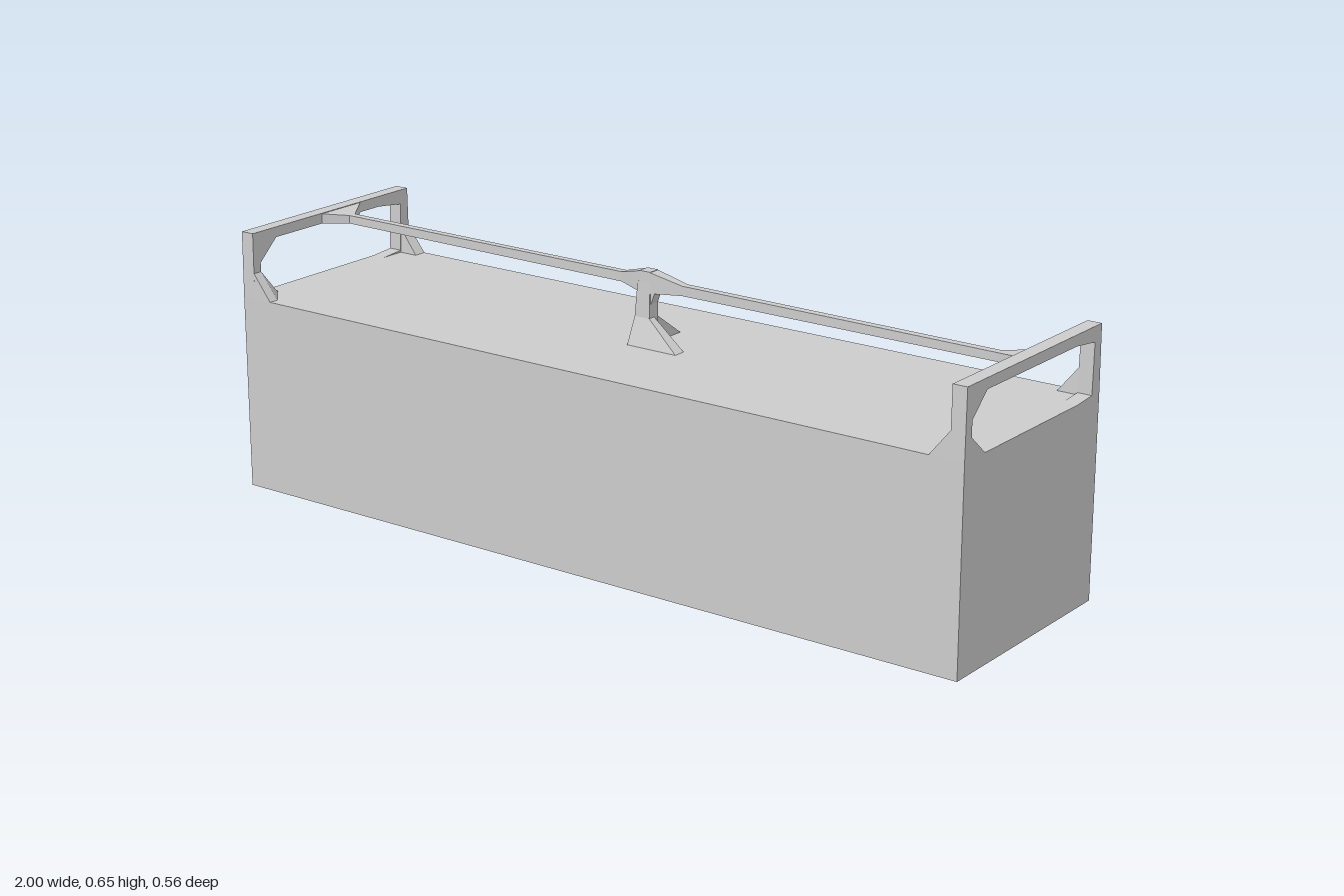
import * as THREE from 'three';
import { ConvexGeometry } from 'three/addons/geometries/ConvexGeometry.js';

const material = new THREE.MeshStandardMaterial({ color: 0xcccccc, flatShading: true });
const DECK = 0.478, BACK = -0.28, FRONT = 0.278;

function add(parent, name, geometry) {
  const mesh = new THREE.Mesh(geometry, material);
  mesh.name = name;
  parent.add(mesh);
  return mesh;
}

// Four corners of a rectangle at height y
const level = (y, x0, x1, z0, z1) => [[x0, y, z0], [x1, y, z0], [x1, y, z1], [x0, y, z1]];
// Four corners of a rectangle at a given x
const section = (x, y0, y1, z0, z1) => [[x, y0, z0], [x, y1, z0], [x, y1, z1], [x, y0, z1]];

// Solid block spanning two or more cross-sections
function block(parent, name, ...sections) {
  const points = sections.flat().map(p => new THREE.Vector3(...p));
  return add(parent, name, new ConvexGeometry(points));
}

// Upright end frame with a chamfered opening
function endFrameGeometry() {
  const toPoints = list => list.map(p => new THREE.Vector2(...p));
  const shape = new THREE.Shape(toPoints([
    [BACK, DECK - 0.002], [FRONT, DECK - 0.002], [0.276, 0.638], [-0.277, 0.638]]));
  shape.holes.push(new THREE.Path(toPoints([
    [0.198, DECK], [-0.185, DECK], [-0.247, 0.483], [-0.25, 0.602],
    [-0.17, 0.612], [0.197, 0.613], [0.253, 0.562], [0.253, 0.525]])));
  const geometry = new THREE.ExtrudeGeometry(shape, { depth: 0.035, bevelEnabled: false });
  return geometry.rotateY(-Math.PI / 2);
}

export function createModel() {
  const model = new THREE.Group();
  model.name = 'toolbox';

  // Closed rectangular body
  const body = add(model, 'body', new THREE.BoxGeometry(2, DECK, FRONT - BACK));
  body.position.set(0, DECK / 2, (FRONT + BACK) / 2);

  // End frames with gussets at the feet of their posts
  for (const side of [-1, 1]) {
    const end = new THREE.Group();
    end.name = side > 0 ? 'leftEnd' : 'rightEnd';
    model.add(end);
    const frame = add(end, 'endFrame', endFrameGeometry());
    frame.position.x = side > 0 ? 1 : -0.965;
    block(end, 'frontGusset',
      [[side * 0.965, DECK, 0.2], [side * 0.915, DECK, 0.253], [side * 0.915, DECK, FRONT],
        [side * 0.97, DECK, FRONT], [side * 0.97, DECK, 0.2]],
      level(0.54, side * 0.965, side * 0.97, 0.253, 0.277));
    block(end, 'backGusset',
      level(DECK, side * 0.915, side * 0.97, BACK, -0.247),
      level(0.54, side * 0.965, side * 0.97, BACK, -0.25));
  }

  // Thin ridge rail, flared where it joins the end frames
  block(model, 'rightRail', section(-0.92, 0.611, 0.631, -0.028, -0.008),
    section(-0.07, 0.608, 0.631, -0.022, -0.004));
  block(model, 'leftRail', section(0.07, 0.608, 0.631, -0.01, 0.01),
    section(0.92, 0.611, 0.631, 0.001, 0.021));
  block(model, 'rightRailFlare', section(-0.97, 0.612, 0.637, -0.11, 0.04),
    section(-0.915, 0.611, 0.631, -0.028, -0.008));
  block(model, 'leftRailFlare', section(0.97, 0.612, 0.637, -0.02, 0.038),
    section(0.915, 0.611, 0.631, 0.001, 0.021));

  // Centre support: post, spreading feet and raised cap
  const support = new THREE.Group();
  support.name = 'centreSupport';
  model.add(support);
  block(support, 'post', level(0.54, -0.026, 0.015, -0.015, 0.019),
    level(0.625, -0.02, 0.015, -0.015, 0.016));
  block(support, 'frontFoot', level(DECK, -0.03, 0.012, -0.015, 0.042),
    level(0.542, -0.026, 0.015, -0.015, 0.019));
  block(support, 'sideFoot', level(DECK, -0.01, 0.105, 0.01, 0.042),
    level(0.542, -0.01, 0.015, 0.0, 0.019));
  block(support, 'backFoot', level(DECK, -0.03, 0.008, -0.11, 0),
    level(0.542, -0.026, 0.012, -0.015, 0));
  block(support, 'brace', level(0.575, 0.0, 0.016, -0.012, 0.014),
    level(0.612, 0.0, 0.03, -0.012, 0.014));
  block(support, 'capRight', section(-0.08, 0.608, 0.631, -0.022, -0.004),
    section(-0.015, 0.6, 0.649, -0.015, 0.016));
  block(support, 'capMiddle', section(-0.015, 0.6, 0.65, -0.015, 0.016),
    section(0.015, 0.6, 0.65, -0.015, 0.016));
  block(support, 'capLeft', section(0.015, 0.6, 0.649, -0.015, 0.016),
    section(0.1, 0.608, 0.631, -0.01, 0.01));

  return model;
}
